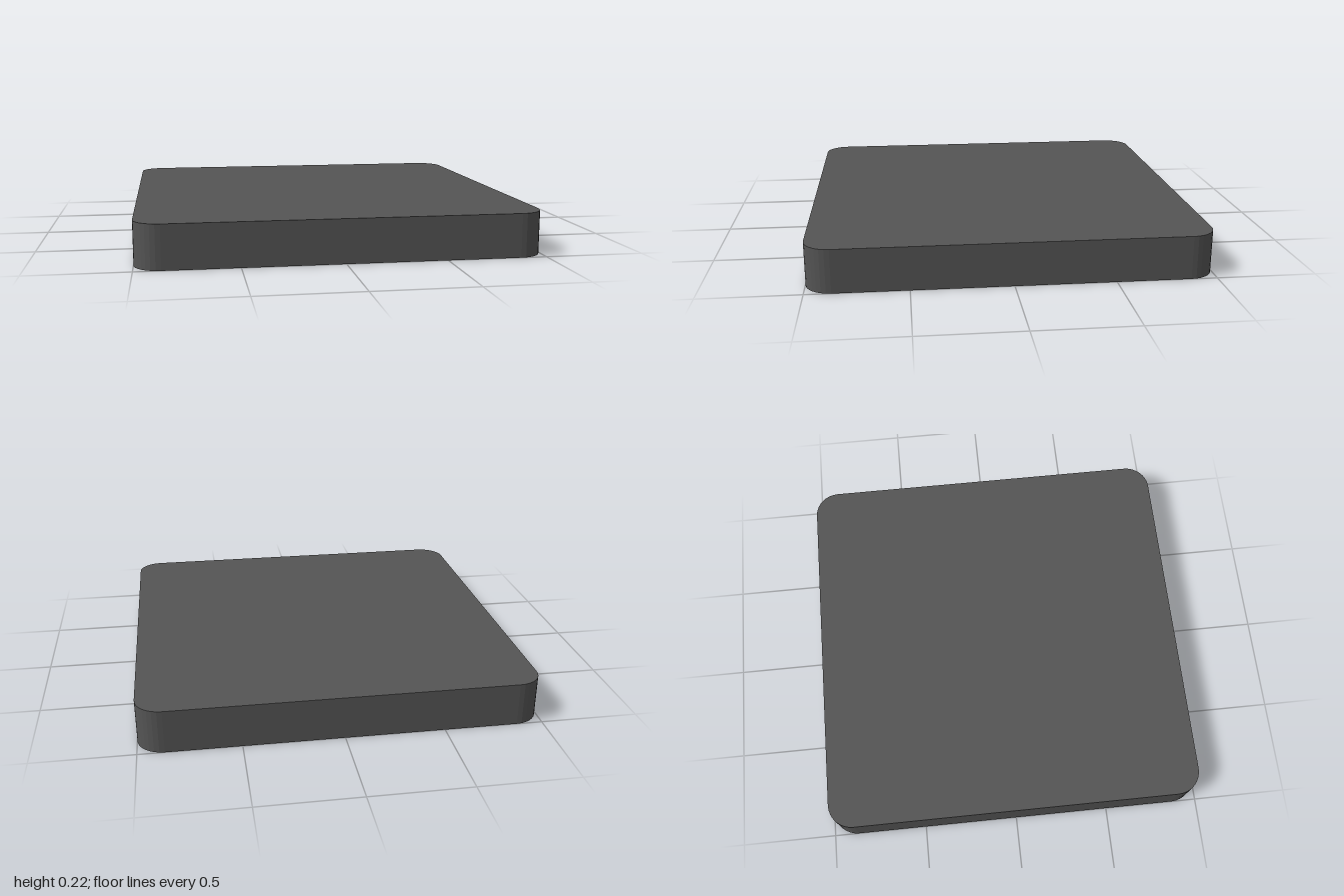
import * as THREE from 'three';

const HEIGHT = 0.22, RECESS = 0.05, SEGMENTS = 4;

// Square with rounded corners, centred on the origin
function roundedSquare(PathType, half, r) {
  const c = half - r;
  const path = new PathType();
  [[c, c], [-c, c], [-c, -c], [c, -c]].forEach(([x, y], i) => {
    path.absarc(x, y, r, i * Math.PI / 2, (i + 1) * Math.PI / 2, false);
  });
  path.closePath();
  return path;
}

// Upright prism of a shape, from y to y + depth
function slab(shape, y, depth) {
  const geometry = new THREE.ExtrudeGeometry(shape, { depth, bevelEnabled: false, curveSegments: SEGMENTS });
  return geometry.rotateX(-Math.PI / 2).translate(0, y, 0);
}

export function createModel() {
  const group = new THREE.Group();
  const bodyMaterial = new THREE.MeshStandardMaterial({ color: 0x555555, flatShading: true });
  const panelMaterial = new THREE.MeshStandardMaterial({ color: 0x999999, flatShading: true });
  const add = (name, geometry, material) => {
    const mesh = new THREE.Mesh(geometry, material);
    mesh.name = name;
    group.add(mesh);
  };

  // Solid upper block
  add('body', slab(roundedSquare(THREE.Shape, 1, 0.13), RECESS, HEIGHT - RECESS), bodyMaterial);

  // Raised rim around the underside
  const rim = roundedSquare(THREE.Shape, 1, 0.13);
  rim.holes.push(roundedSquare(THREE.Path, 0.91, 0.07));
  add('bottomRim', slab(rim, 0, RECESS), bodyMaterial);

  // Lighter panel facing down inside the recess
  const panel = new THREE.ShapeGeometry(roundedSquare(THREE.Shape, 0.91, 0.07), SEGMENTS);
  add('bottomPanel', panel.rotateX(Math.PI / 2).translate(0, RECESS - 0.002, 0), panelMaterial);

  return group;
}
